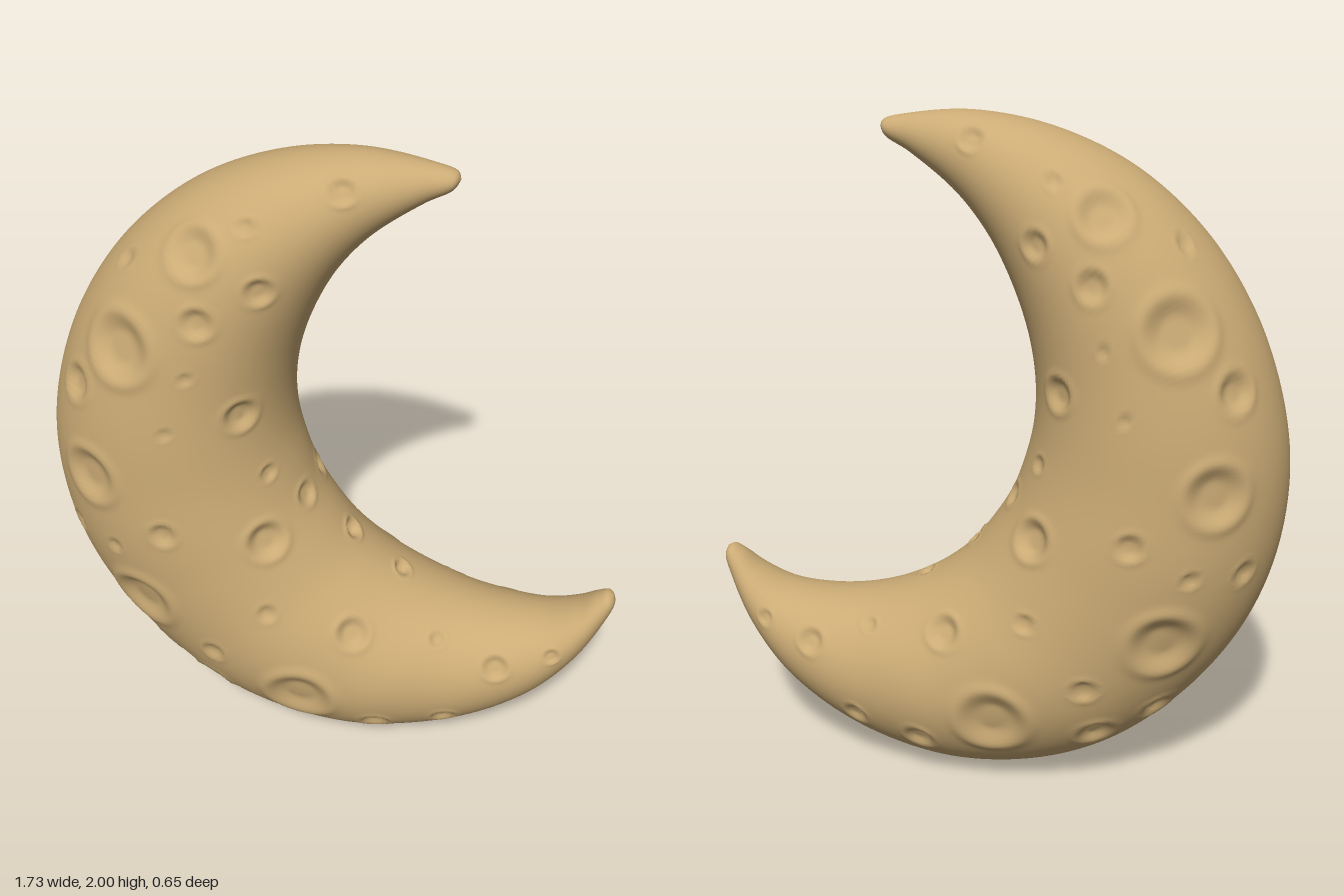
import * as THREE from 'three';
import { mergeVertices } from 'three/addons/utils/BufferGeometryUtils.js';

// Cross-sections from the upper tip to the lower tip: outer x, y, inner x, y, half depth
const SECTIONS = [
  [0.322, 1.95, 0.322, 1.95, 0], [0.31, 1.97, 0.305, 1.922, 0.03], [0.25, 1.985, 0.235, 1.88, 0.055],
  [0.06, 2.0, 0.1, 1.775, 0.12], [-0.17, 1.96, 0.01, 1.665, 0.185], [-0.4, 1.855, -0.06, 1.53, 0.24],
  [-0.6, 1.68, -0.11, 1.38, 0.275], [-0.75, 1.45, -0.13, 1.24, 0.295], [-0.84, 1.19, -0.125, 1.12, 0.31],
  [-0.865, 0.97, -0.1, 1.01, 0.315], [-0.835, 0.73, -0.06, 0.9, 0.32], [-0.75, 0.51, 0, 0.8, 0.315],
  [-0.6, 0.3, 0.07, 0.71, 0.31], [-0.41, 0.135, 0.15, 0.64, 0.31], [-0.2, 0.04, 0.23, 0.59, 0.3],
  [0.05, 0.005, 0.32, 0.55, 0.28], [0.28, 0.035, 0.42, 0.525, 0.24], [0.48, 0.115, 0.54, 0.515, 0.2],
  [0.65, 0.235, 0.66, 0.53, 0.15], [0.77, 0.385, 0.75, 0.575, 0.1], [0.84, 0.53, 0.805, 0.62, 0.055],
  [0.862, 0.6, 0.835, 0.637, 0.03], [0.855, 0.63, 0.855, 0.63, 0],
];

// Craters on the front face (x, y, radius), repeated on the back
const CRATERS = [
  [-0.34, 1.765, 0.07], [-0.55, 1.46, 0.095], [-0.71, 1.3, 0.055], [-0.68, 1.02, 0.085],
  [-0.76, 0.775, 0.035], [-0.62, 0.765, 0.027], [-0.55, 0.555, 0.095], [-0.53, 0.305, 0.05],
  [-0.355, 0.22, 0.055], [-0.325, 0.395, 0.037], [-0.05, 0.27, 0.097], [0.18, 0.16, 0.045],
  [0.39, 0.195, 0.037], [0.535, 0.41, 0.04], [0.695, 0.45, 0.025], [0.35, 0.48, 0.025],
  [0.105, 0.515, 0.05], [-0.145, 0.595, 0.03], [-0.16, 0.835, 0.06], [-0.075, 0.905, 0.037],
  [0.055, 0.735, 0.033], [-0.45, 0.87, 0.04], [-0.165, 1.035, 0.027], [-0.225, 1.26, 0.05],
  [-0.42, 1.225, 0.02], [-0.36, 1.415, 0.02], [-0.325, 1.58, 0.045], [-0.16, 1.675, 0.04],
  [-0.55, 1.675, 0.028], [-0.2, 1.845, 0.025], [0.035, 1.935, 0.035], [0.21, 0.61, 0.028],
];

// Smooth horned body lofted from elliptical rings
function crescentGeometry(rings, sides) {
  const outer = new THREE.CatmullRomCurve3(SECTIONS.map(s => new THREE.Vector3(s[0], s[1], s[4])));
  const inner = new THREE.CatmullRomCurve3(SECTIONS.map(s => new THREE.Vector3(s[2], s[3], 0)));
  const positions = [], index = [];
  for (let i = 0; i <= rings; i++) {
    const o = outer.getPoint(i / rings), n = inner.getPoint(i / rings);
    for (let j = 0; j < sides; j++) {
      const a = (j / sides) * Math.PI * 2, c = (1 + Math.cos(a)) / 2;
      positions.push(n.x + (o.x - n.x) * c, n.y + (o.y - n.y) * c, o.z * Math.sin(a));
      if (i === rings) continue;
      const p = i * sides + j, q = i * sides + (j + 1) % sides;
      if (i < rings - 1) index.push(p + sides, q + sides, q);
      if (i > 0) index.push(p, p + sides, q);
    }
  }
  const geometry = new THREE.BufferGeometry();
  geometry.setAttribute('position', new THREE.Float32BufferAttribute(positions, 3));
  geometry.setIndex(index);
  const merged = mergeVertices(geometry, 1e-5);
  merged.computeVertexNormals();
  return merged;
}

// Height of a crater at q radii from its centre: sunken floor and low raised rim
function craterHeight(q, r) {
  const floor = 1 - THREE.MathUtils.smoothstep(q, 0.45, 1.05);
  const depth = r > 0.065 ? 0.23 * r : 0.33 * r;
  return -depth * floor + 0.07 * r * Math.exp(-(((q - 1.15) / 0.2) ** 2));
}

// Press craters into both faces along the surface normals
function pressCraters(geometry) {
  const pos = geometry.attributes.position, nor = geometry.attributes.normal;
  const base = [], centres = [];
  for (let i = 0; i < pos.count; i++) base.push(new THREE.Vector3().fromBufferAttribute(pos, i));
  for (const [x, y, r] of CRATERS) {
    let best = null, bestD = Infinity;
    for (const p of base) {
      const d = (p.x - x) ** 2 + (p.y - y) ** 2;
      if (p.z >= 0 && d < bestD) { bestD = d; best = p; }
    }
    for (const side of [1, -1]) centres.push({ p: new THREE.Vector3(best.x, best.y, best.z * side), r });
  }
  const normal = new THREE.Vector3();
  base.forEach((p, i) => {
    let h = 0;
    for (const c of centres) {
      const q = p.distanceTo(c.p) / c.r;
      if (q < 1.8) h += craterHeight(q, c.r);
    }
    normal.fromBufferAttribute(nor, i);
    pos.setXYZ(i, p.x + normal.x * h, p.y + normal.y * h, p.z + normal.z * h);
  });
  geometry.computeVertexNormals();
}

export function createModel() {
  const group = new THREE.Group();
  group.name = 'crescentMoon';
  const sand = new THREE.MeshStandardMaterial({ color: 0xcbab75 });
  sand.name = 'sand';
  const geometry = crescentGeometry(340, 180);
  pressCraters(geometry);
  const moon = new THREE.Mesh(geometry, sand);
  moon.name = 'crateredCrescent';
  group.add(moon);
  return group;
}
